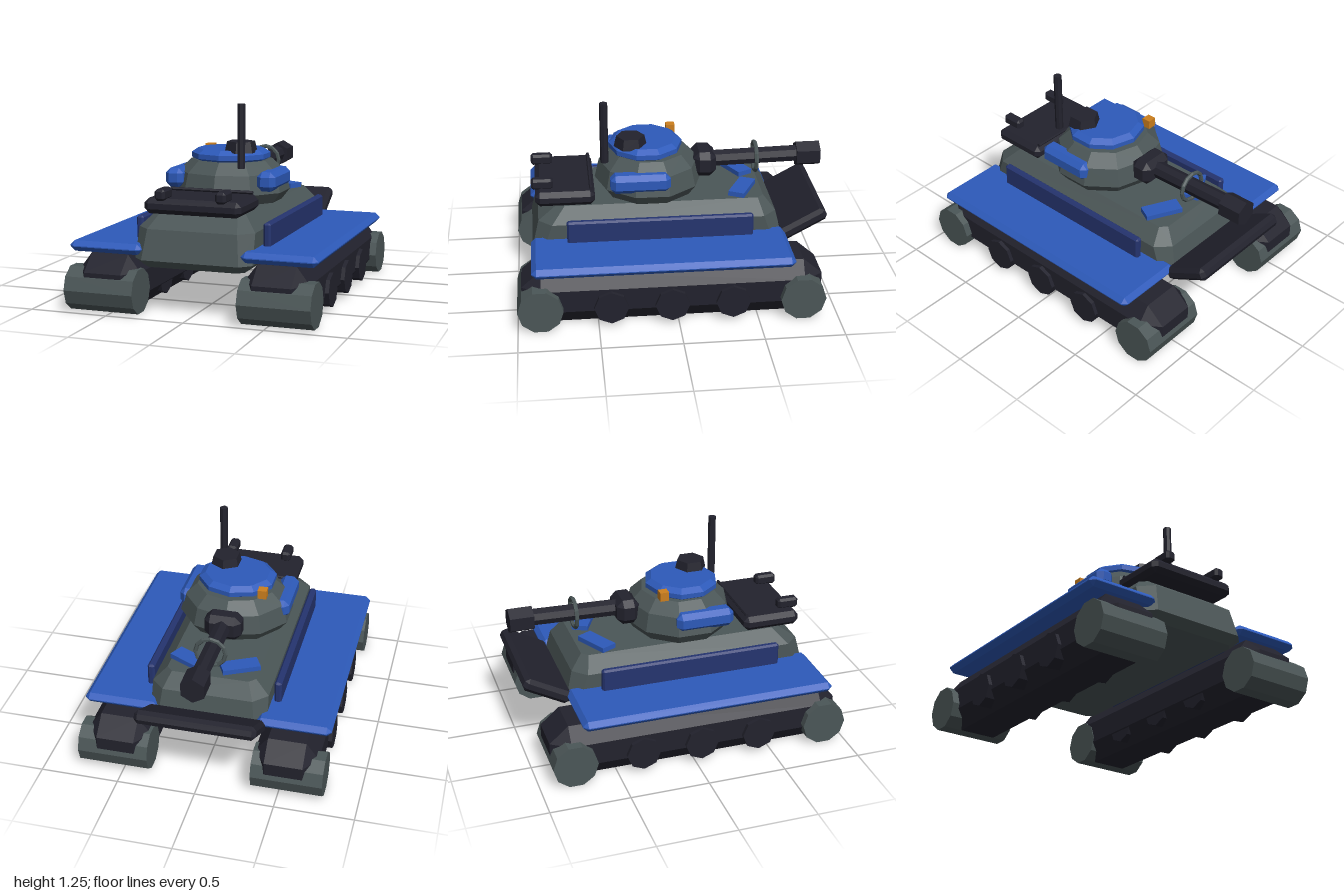
import * as THREE from 'three';
import { ConvexGeometry } from 'three/addons/geometries/ConvexGeometry.js';

const material = (name, color) => {
  const m = new THREE.MeshStandardMaterial({ color });
  m.name = name;
  return m;
};

// Give every face its own normal
const flat = (geometry) => {
  const g = geometry.index ? geometry.toNonIndexed() : geometry;
  g.computeVertexNormals();
  return g;
};

// Box with all twelve edges cut by (bx, by, bz)
function bevelBox(w, h, d, bx, by = bx, bz = bx) {
  const points = [];
  const [x, y, z] = [w / 2, h / 2, d / 2];
  for (const sx of [-1, 1]) for (const sy of [-1, 1]) for (const sz of [-1, 1]) {
    points.push(
      new THREE.Vector3(sx * x, sy * (y - by), sz * (z - bz)),
      new THREE.Vector3(sx * (x - bx), sy * y, sz * (z - bz)),
      new THREE.Vector3(sx * (x - bx), sy * (y - by), sz * z));
  }
  return new ConvexGeometry(points);
}

// Stacked ten-sided oval rings; each ring is [y, scale]
function ovalStack(rx, rz, rings) {
  const points = [];
  for (const [y, s] of rings) for (let i = 0; i < 10; i++) {
    const a = (i / 10) * Math.PI * 2;
    points.push(new THREE.Vector3(Math.sin(a) * rx * s, y, Math.cos(a) * rz * s));
  }
  return new ConvexGeometry(points);
}

// Stacked rectangles with cut corners; each is [y, half width, back z, front z, cut]
function hullStack(sections) {
  const points = [];
  for (const [y, x, z0, z1, c] of sections) for (const s of [-1, 1]) {
    points.push(
      new THREE.Vector3(s * x, y, z0 + c), new THREE.Vector3(s * (x - c), y, z0),
      new THREE.Vector3(s * x, y, z1 - c), new THREE.Vector3(s * (x - c), y, z1));
  }
  return new ConvexGeometry(points);
}

const cylinder = (rTop, rBottom, length, sides) =>
  flat(new THREE.CylinderGeometry(rTop, rBottom, length, sides));
const axle = (r, length, sides) => cylinder(r, r, length, sides).rotateZ(Math.PI / 2);

export function createModel() {
  const model = new THREE.Group();
  model.name = 'tank';
  const grey = material('armour grey', 0x4b5657);
  const dark = material('dark metal', 0x22222d);
  const blue = material('blue paint', 0x2d5aba);
  const navy = material('navy paint', 0x25346f);
  const orange = material('orange lamp', 0xcc7f1e);

  const add = (name, geometry, mat, x = 0, y = 0, z = 0) => {
    const mesh = new THREE.Mesh(geometry, mat);
    mesh.name = name;
    mesh.position.set(x, y, z);
    model.add(mesh);
    return mesh;
  };

  // Hull
  add('hull', hullStack([
    [0.285, 0.32, -0.65, 0.84, 0.04],
    [0.335, 0.375, -0.715, 0.895, 0.065],
    [0.52, 0.372, -0.67, 0.85, 0.085],
    [0.613, 0.285, -0.595, 0.72, 0.04],
  ]), grey);

  // Running gear, fenders and turret sides, mirrored
  for (const s of [-1, 1]) {
    const side = s > 0 ? 'left' : 'right';
    add(side + 'Track', bevelBox(0.4, 0.354, 1.88, 0.08, 0.105, 0.12), dark, s * 0.535, 0.177, 0.03);
    for (const z of [0.858, -0.778]) {
      add(side + 'EndRoller', axle(0.142, 0.45, 10), grey, s * 0.555, 0.135, z);
    }
    for (const z of [0.42, 0.04, -0.34]) {
      add(side + 'RoadWheel', axle(0.108, 0.42, 8), dark, s * 0.55, 0.13, z);
    }
    add(side + 'Fender', bevelBox(0.475, 0.066, 1.625, 0.03), blue, s * 0.553, 0.393, 0.09);
    add(side + 'SideSkirt', bevelBox(0.046, 0.235, 1.18, 0.012), navy, s * 0.412, 0.448, 0.083);
    add(side + 'TurretPod', bevelBox(0.12, 0.122, 0.38, 0.032), blue, s * 0.306, 0.766, 0.2);
    add(side + 'DeckStripe', new THREE.BoxGeometry(0.24, 0.032, 0.105), blue, s * 0.162, 0.632, -0.47)
      .rotation.y = -s * 0.47;
    add(side + 'Latch', bevelBox(0.066, 0.07, 0.14, 0.015), dark, s * 0.192, 0.735, 0.817);
  }

  // Stowage box and rail on the deck
  add('stowageBox', bevelBox(0.615, 0.095, 0.378, 0.03), dark, 0, 0.662, 0.675);
  add('stowageRail', axle(0.012, 0.54, 6), dark, 0, 0.719, 0.51);

  // Slanted plate below the gun
  add('slantedPlate', bevelBox(0.76, 0.085, 0.33, 0.025), dark, 0, 0.443, -0.843)
    .rotation.x = 0.5;

  // Turret and its roof
  add('turret', ovalStack(0.375, 0.35, [[0.613, 0.86], [0.68, 1], [0.8, 0.92], [0.875, 0.7]]),
    grey, 0, 0, 0.125);
  add('turretRoof', ovalStack(0.255, 0.237, [[0.865, 0.85], [0.887, 1], [0.918, 1], [0.945, 0.84]]),
    blue, 0, 0, 0.145);
  add('hatch', cylinder(0.09, 0.106, 0.07, 6), dark, 0.103, 0.967, 0.247);
  add('antenna', cylinder(0.026, 0.026, 0.4, 8), dark, 0.163, 1.052, 0.417);
  add('lamp', new THREE.BoxGeometry(0.058, 0.058, 0.058), orange, -0.206, 0.916, -0.038);

  // Gun
  add('mantlet', bevelBox(0.24, 0.165, 0.15, 0.04), dark, 0, 0.77, -0.235);
  add('barrel', cylinder(0.055, 0.055, 0.6, 8).rotateX(Math.PI / 2), dark, 0, 0.781, -0.57)
    .rotation.x = 0.022;
  add('muzzle', cylinder(0.083, 0.083, 0.155, 6).rotateX(Math.PI / 2), dark, 0, 0.784, -0.922);
  add('barrelRing', flat(new THREE.TorusGeometry(0.095, 0.014, 6, 12)), grey, 0, 0.778, -0.575);

  return model;
}
